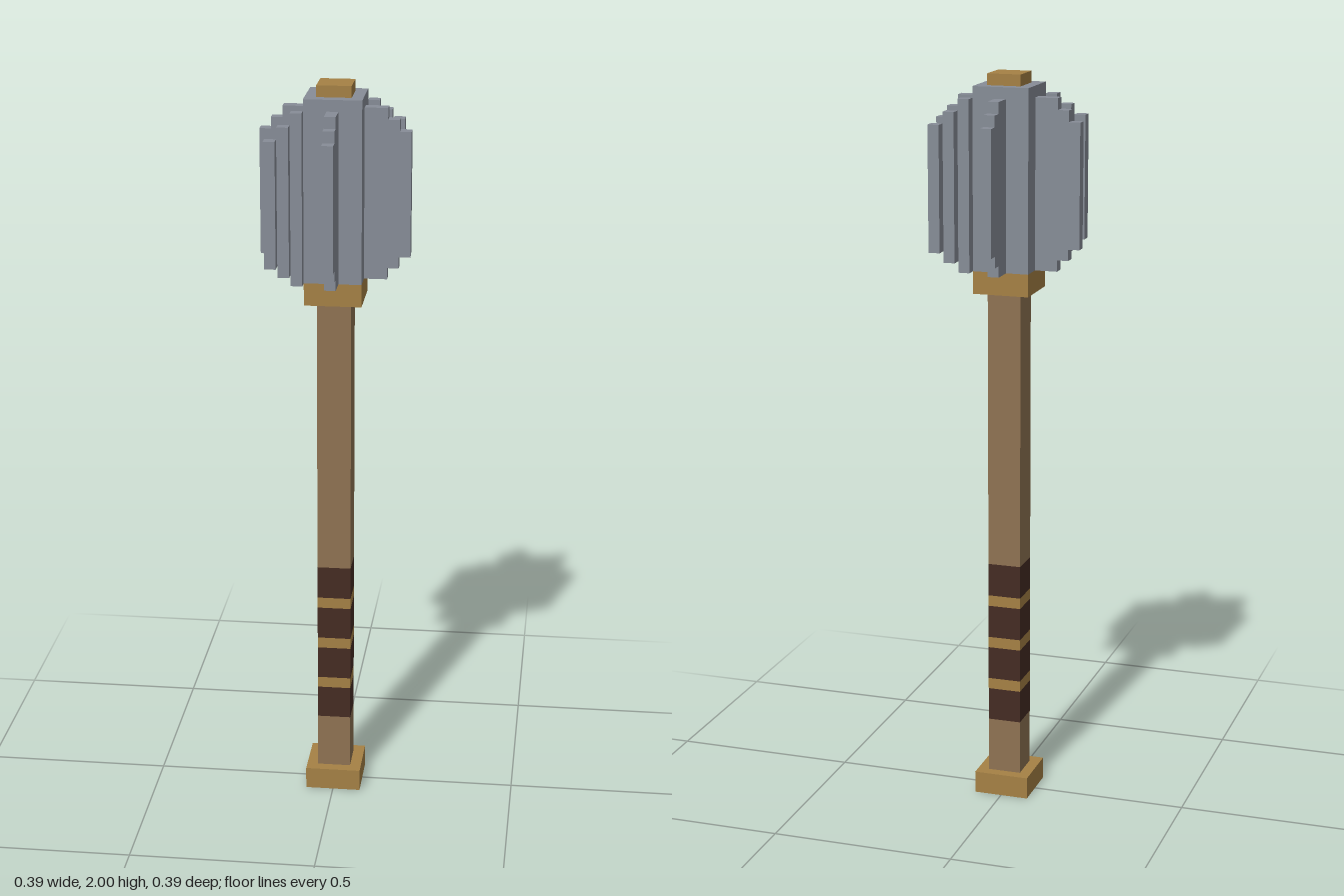
import * as THREE from 'three';

const U = 2 / 66; // one block unit

export function createModel() {
  const mat = (name, color) => {
    const m = new THREE.MeshStandardMaterial({ color });
    m.name = name;
    return m;
  };
  const steel = mat('steel', 0x878d97);
  const brass = mat('brass', 0xa58145);
  const wood = mat('wood', 0x8f7352);
  const leather = mat('leather', 0x452c23);

  const model = new THREE.Group();
  model.name = 'mace';

  // Box with its footprint and height range in block units
  const block = (parent, name, material, width, depth, y0, y1, x = 0, z = 0) => {
    const geometry = new THREE.BoxGeometry(width * U, (y1 - y0) * U, depth * U);
    const mesh = new THREE.Mesh(geometry, material);
    mesh.name = name;
    mesh.position.set(x * U, ((y0 + y1) / 2) * U, z * U);
    parent.add(mesh);
  };

  // Pommel and shaft
  block(model, 'pommel', brass, 5, 5, 0, 2);
  block(model, 'lowerShaft', wood, 3, 3, 2, 7);
  block(model, 'upperShaft', wood, 3, 3, 22, 47);

  // Grip: leather wraps separated by brass rings
  const grip = new THREE.Group();
  grip.name = 'grip';
  model.add(grip);
  for (let i = 0; i < 4; i++) {
    const y = 7 + i * 4;
    block(grip, 'leatherWrap', leather, 3, 3, y, y + 3);
    if (i < 3) block(grip, 'brassRing', brass, 3, 3, y + 3, y + 4);
  }

  // Head core with collar and cap
  block(model, 'collar', brass, 5, 5, 47, 49);
  block(model, 'headCore', steel, 5, 5, 49, 65);
  block(model, 'cap', brass, 3, 3, 65, 66);

  // Four straight flanges, stepped towards the outer edge
  for (let i = 0; i < 4; i++) {
    const flange = new THREE.Group();
    flange.name = 'flange';
    flange.rotation.y = (i * Math.PI) / 2;
    block(flange, 'flangeInner', steel, 2, 1, 49, 64, 3.5);
    block(flange, 'flangeMiddle', steel, 1, 1, 50, 63, 5);
    block(flange, 'flangeOuter', steel, 1, 1, 51, 62, 6);
    model.add(flange);
  }

  // Two diagonal flanges made of corner-to-corner bars
  for (const side of [1, -1]) {
    const flange = new THREE.Group();
    flange.name = 'diagonalFlange';
    for (let i = 0; i < 3; i++) {
      const d = side * (3 + i);
      block(flange, 'flangeBar', steel, 1, 1, 49 + i, 64 - i, d, -d);
    }
    model.add(flange);
  }

  return model;
}
